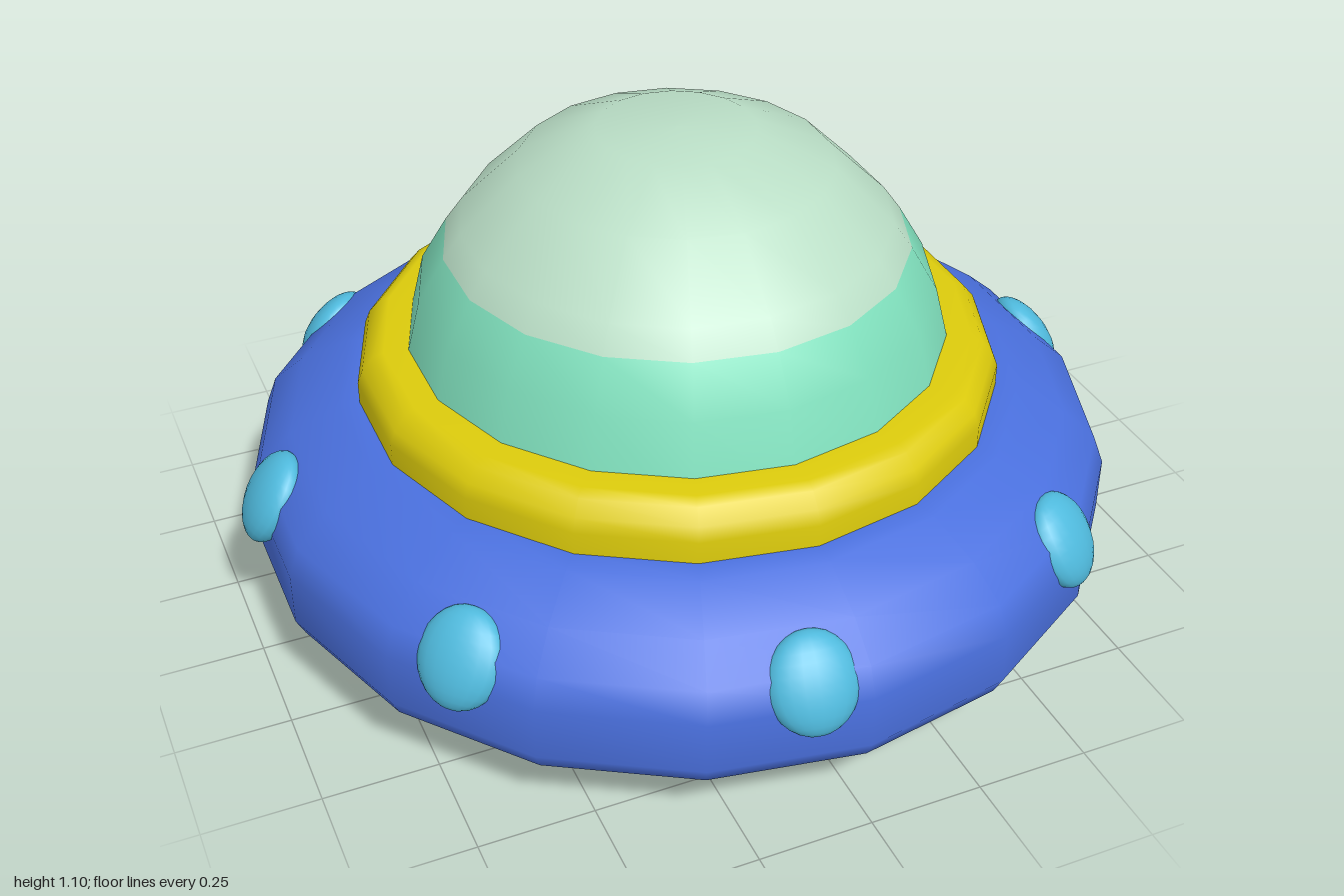
import * as THREE from 'three';

const paint = (name, color) => {
  const m = new THREE.MeshStandardMaterial({ color });
  m.name = name;
  return m;
};

export function createModel() {
  const blue = paint('hull blue', 0x4a70de);
  const yellow = paint('collar yellow', 0xdccb0c);
  const red = paint('base red', 0xda7080);
  const cyan = paint('lamp cyan', 0x4fbadd);
  const green = paint('dome green', 0x80e0bd);
  const pale = paint('dome pale green', 0xbadec6);

  const SIDES = 18;
  const group = new THREE.Group();
  group.name = 'flyingSaucer';

  // Revolved part, slightly narrower in x than in z; profile runs bottom to top
  const turn = (name, profile, material) => {
    const points = profile.map(([r, y]) => new THREE.Vector2(r, y));
    const mesh = new THREE.Mesh(new THREE.LatheGeometry(points, SIDES), material);
    mesh.name = name;
    mesh.scale.x = 0.985;
    group.add(mesh);
    return mesh;
  };

  // Base disc under the hull
  turn('base', [[0, 0.005], [0.7, 0.008], [0.735, 0.015], [0.757, 0.035], [0.76, 0.06], [0.76, 0.18]], red);

  // Wide rounded hull
  turn('hull', [
    [0.68, 0.13], [0.86, 0.13], [0.91, 0.135], [0.96, 0.16], [0.98, 0.2],
    [0.98, 0.32], [0.955, 0.385], [0.88, 0.45], [0.77, 0.505], [0.72, 0.51], [0.55, 0.51],
  ], blue);

  // Collar around the dome
  turn('collar', [
    [0.722, 0.48], [0.722, 0.56], [0.71, 0.59], [0.685, 0.62], [0.66, 0.63], [0.57, 0.63],
  ], yellow);

  // Dome: one smooth surface, with a paler cap from the third band up
  const domeProfile = [
    [0.62, 0.57], [0.575, 0.745], [0.515, 0.845], [0.475, 0.9], [0.345, 1.025], [0.175, 1.1], [0, 1.103],
  ];
  const dome = turn('dome', domeProfile, [green, pale]);
  const bands = domeProfile.length - 1, capStart = 2;
  for (let i = 0; i < SIDES; i++) {
    const start = i * bands * 6;
    dome.geometry.addGroup(start, capStart * 6, 0);
    dome.geometry.addGroup(start + capStart * 6, (bands - capStart) * 6, 1);
  }

  // Eight flattened lamps leaning back on the hull's shoulder
  const lampGeometry = new THREE.SphereGeometry(1, 20, 14);
  const spots = [
    [-0.11, 0.925], [0.57, 0.735], [0.925, 0], [0.67, -0.65],
    [0.035, -0.935], [-0.62, -0.69], [-0.925, -0.07], [-0.71, 0.59],
  ];
  spots.forEach(([x, z], i) => {
    const lamp = new THREE.Mesh(lampGeometry, cyan);
    lamp.name = `lamp${i + 1}`;
    lamp.position.set(x, 0.358, z);
    lamp.rotation.set(-0.55, Math.atan2(x, z), 0, 'YXZ');
    lamp.scale.set(0.096, 0.106, 0.05);
    group.add(lamp);
  });

  return group;
}
